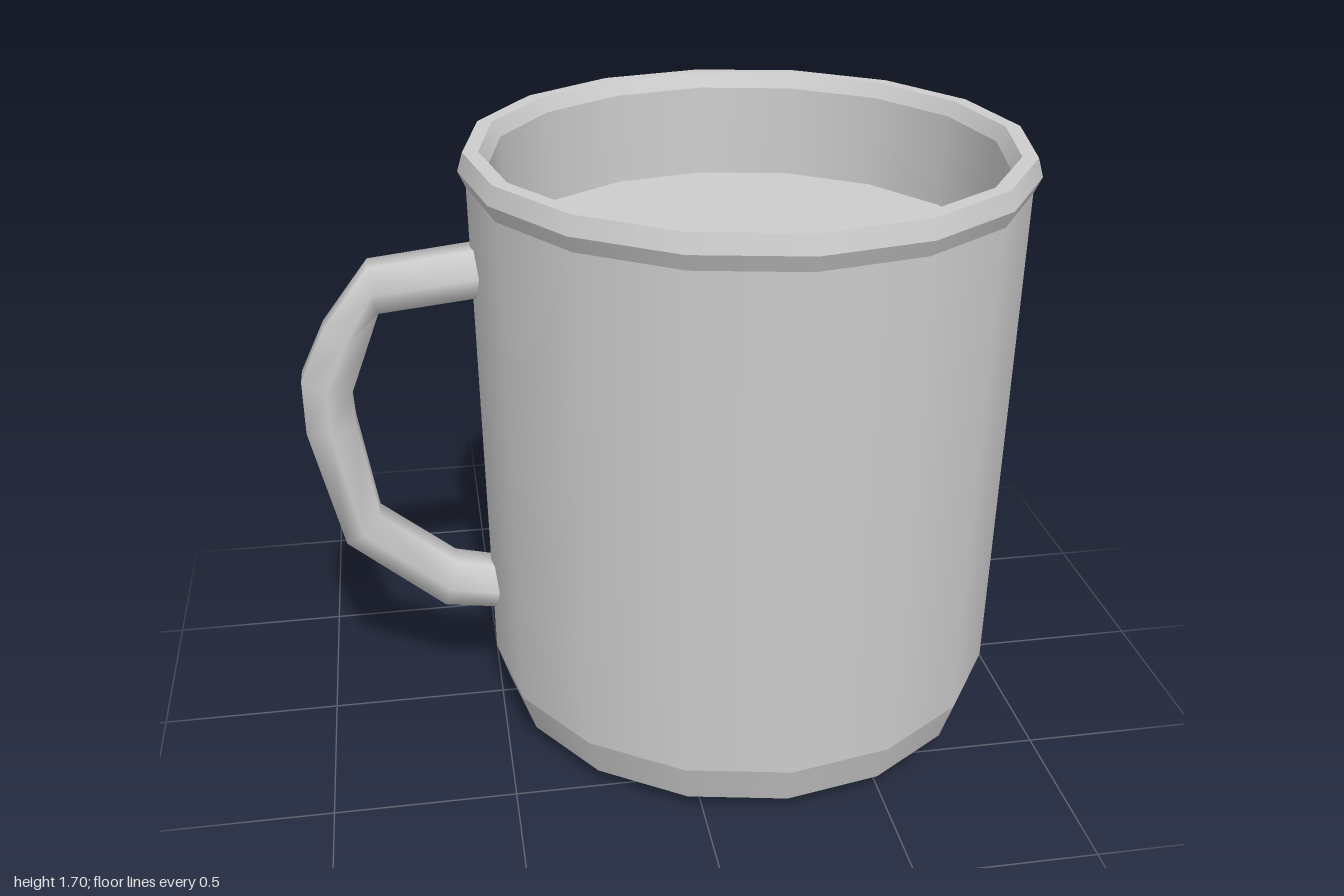
import * as THREE from 'three';
import { toCreasedNormals } from 'three/addons/utils/BufferGeometryUtils.js';

const SIDES = 16;
const CUP_X = 0.226;

export function createModel() {
  const model = new THREE.Group();
  model.name = 'mug';
  const grey = new THREE.MeshStandardMaterial({ color: 0xcccccc });
  grey.name = 'grey';

  const cup = new THREE.Group();
  cup.name = 'cup';
  cup.position.x = CUP_X;
  model.add(cup);

  // One smooth band per profile segment, so the rings between bands stay crisp
  const addBands = (name, profile) => {
    const part = new THREE.Group();
    part.name = name;
    for (let i = 0; i < profile.length - 1; i++) {
      const points = [profile[i], profile[i + 1]].map(([r, y]) => new THREE.Vector2(r, y));
      const geometry = new THREE.LatheGeometry(points, SIDES);
      geometry.normalizeNormals();
      const band = new THREE.Mesh(geometry, grey);
      band.name = name + 'Band';
      part.add(band);
    }
    cup.add(part);
  };

  addBands('base', [[0, 0], [0.635, 0], [0.7, 0.048], [0.737, 0.165]]);
  addBands('wall', [[0.737, 0.165], [0.754, 1.6]]);
  addBands('rim', [[0.754, 1.6], [0.774, 1.645], [0.759, 1.695], [0.717, 1.695], [0.694, 1.655]]);
  addBands('innerWall', [[0.694, 1.655], [0.686, 1.39]]);
  addBands('drinkSurface', [[0.686, 1.39], [0, 1.39]]);

  // Handle cross-sections: outer x, y then inner x, y
  const rings = [
    [-0.49, 1.44, -0.49, 1.305],
    [-0.8, 1.405, -0.78, 1.275],
    [-0.93, 1.235, -0.822, 1.165],
    [-1, 1.09, -0.87, 1.04],
    [-1, 0.935, -0.865, 0.95],
    [-0.92, 0.58, -0.82, 0.66],
    [-0.655, 0.35, -0.615, 0.49],
    [-0.49, 0.325, -0.49, 0.46],
  ];
  const n = 6;
  const positions = [];
  const index = [];
  for (const [ox, oy, ix, iy] of rings) {
    for (let k = 0; k < n; k++) {
      const a = ((k + 0.5) / n) * Math.PI * 2;
      const t = Math.cos(a) / Math.cos(Math.PI / n) / 2;
      positions.push((ox + ix) / 2 + (ox - ix) * t, (oy + iy) / 2 + (oy - iy) * t, Math.sin(a) * 0.078);
    }
  }
  for (let r = 0; r < rings.length - 1; r++) {
    for (let k = 0; k < n; k++) {
      const a = r * n + k;
      const b = r * n + ((k + 1) % n);
      index.push(a, a + n, b, b, a + n, b + n);
    }
  }
  // End caps
  const last = (rings.length - 1) * n;
  for (let k = 1; k < n - 1; k++) {
    index.push(0, k, k + 1, last, last + k + 1, last + k);
  }
  const geometry = new THREE.BufferGeometry();
  geometry.setAttribute('position', new THREE.Float32BufferAttribute(positions, 3));
  geometry.setIndex(index);
  const handle = new THREE.Mesh(toCreasedNormals(geometry, Math.PI / 2.4), grey);
  handle.name = 'handle';
  model.add(handle);

  return model;
}
